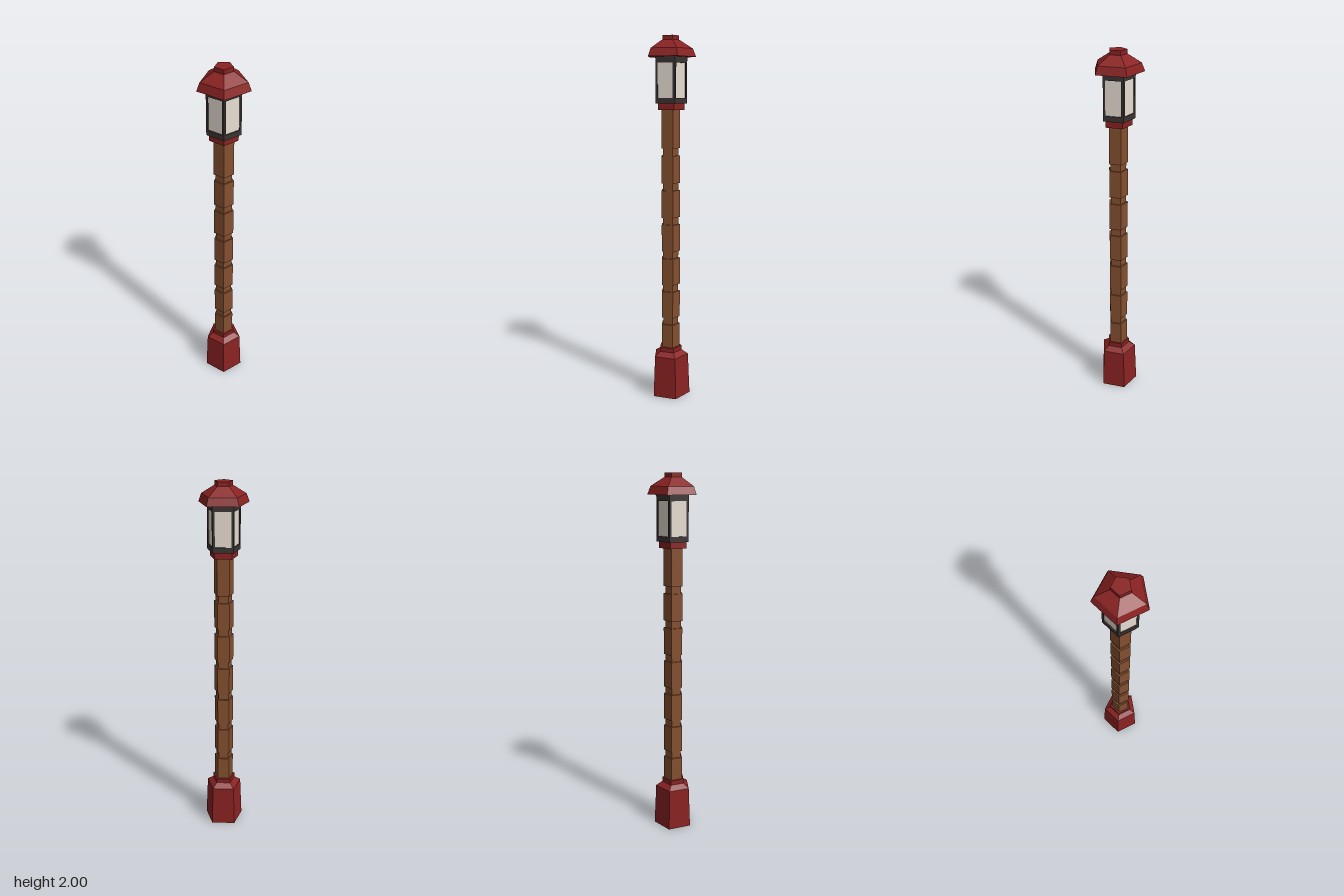
import * as THREE from 'three';

const material = (color) => new THREE.MeshStandardMaterial({ color, flatShading: true, roughness: 0.8 });

export function createModel() {
  const root = new THREE.Group();
  root.name = 'lampPost';

  const red = material(0x8a2222);
  const wood = material(0x85502f);
  const iron = material(0x3a3432);
  const glass = material(0xe8ddd2);

  // Five-sided solid from [radius, height] pairs, listed bottom to top,
  // with a corner at the back and a flat side at the front
  function pentagonSolid(name, mat, profile, parent = root) {
    const points = [
      [0, profile[0][1]],
      ...profile,
      [0, profile[profile.length - 1][1]],
    ].map(([r, y]) => new THREE.Vector2(r, y));
    const mesh = new THREE.Mesh(new THREE.LatheGeometry(points, 5, Math.PI), mat);
    mesh.name = name;
    parent.add(mesh);
    return mesh;
  }
  const prism = (name, mat, r, y0, y1, parent) => pentagonSolid(name, mat, [[r, y0], [r, y1]], parent);

  // Base with sloped shoulder and neck
  pentagonSolid('base', red, [[0.112, 0], [0.102, 0.233], [0.066, 0.257], [0.066, 0.283]]);

  // Wooden shaft: thin core with seven thicker segments
  const shaft = new THREE.Group();
  shaft.name = 'shaft';
  root.add(shaft);
  prism('shaftCore', wood, 0.046, 0.27, 1.62, shaft);
  const pitch = 0.19;
  for (let i = 0; i < 7; i++) {
    const bottom = i === 0 ? 0.275 : 0.265 + i * pitch;
    const top = i === 6 ? 1.615 : 0.265 + (i + 1) * pitch - 0.04;
    prism('shaftSegment', wood, 0.055, bottom, top, shaft);
  }

  // Collar under the lantern
  prism('collar', red, 0.078, 1.61, 1.647);

  // Lantern: glass core held by two bands and five corner posts
  const lantern = new THREE.Group();
  lantern.name = 'lantern';
  root.add(lantern);
  const R = 0.092;
  prism('lanternBottomBand', iron, R, 1.645, 1.674, lantern);
  prism('lanternTopBand', iron, R, 1.857, 1.889, lantern);
  prism('lanternGlass', glass, 0.084, 1.67, 1.86, lantern);

  const w = 0.012;
  const half = THREE.MathUtils.degToRad(54);
  const dx = w * Math.sin(half);
  const dy = w * Math.cos(half);
  const kite = new THREE.Shape([
    new THREE.Vector2(0, R),
    new THREE.Vector2(-dx, R - dy),
    new THREE.Vector2(0, R - 2 * dy),
    new THREE.Vector2(dx, R - dy),
  ]);
  const postGeometry = new THREE.ExtrudeGeometry(kite, { depth: 0.185, bevelEnabled: false });
  postGeometry.rotateX(-Math.PI / 2);
  for (let i = 0; i < 5; i++) {
    const post = new THREE.Mesh(postGeometry, iron);
    post.name = 'lanternCornerPost';
    post.position.y = 1.673;
    post.rotation.y = (i * Math.PI * 2) / 5;
    lantern.add(post);
  }

  // Roof with steep rim, and the small cap on top
  pentagonSolid('roof', red, [[0.139, 1.889], [0.122, 1.932], [0.05, 1.977]]);
  prism('roofCap', red, 0.049, 1.97, 2);

  // Centre the footprint: a pentagon reaches further to its corner than to its flat side
  root.children.forEach((part) => { part.position.z = 0.013; });
  return root;
}
